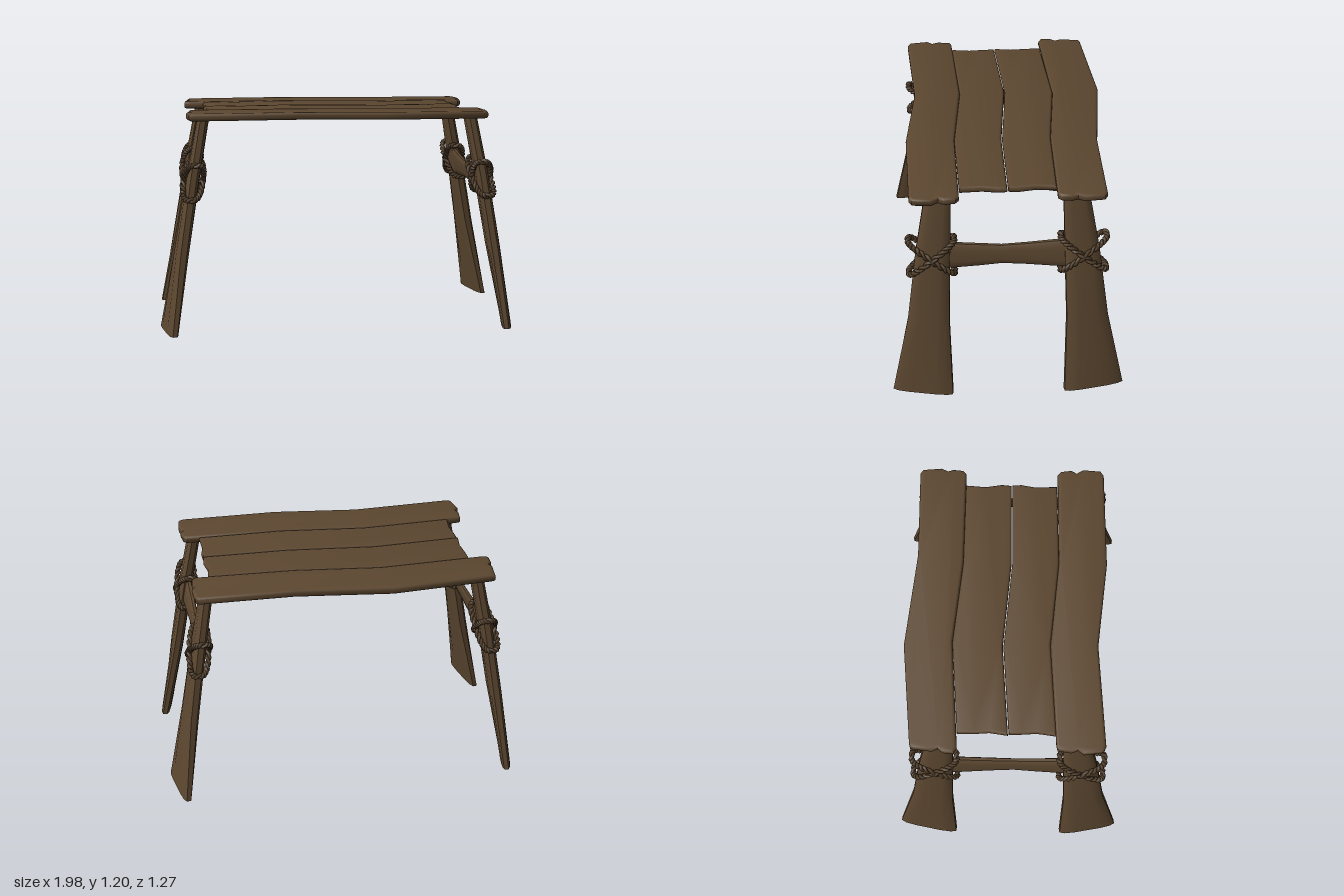
import * as THREE from 'three';
import { toCreasedNormals } from 'three/addons/utils/BufferGeometryUtils.js';

const LEAN = 0.173; // how far the legs lean in per unit of height

// Skin over closed rings of points, with flat caps at both ends
function loft(rings, flip) {
  const n = rings[0].length, pos = rings.flat().flatMap(p => [p.x, p.y, p.z]), idx = [];
  const tri = (a, b, c) => (flip ? idx.push(a, c, b) : idx.push(a, b, c));
  const last = (rings.length - 1) * n;
  for (let r = 0; r < rings.length - 1; r++) {
    for (let i = 0; i < n; i++) {
      const a = r * n + i, b = r * n + (i + 1) % n;
      tri(a, b, b + n);
      tri(a, b + n, a + n);
    }
  }
  for (let i = 1; i < n - 1; i++) {
    tri(0, i + 1, i);
    tri(last, last + i, last + i + 1);
  }
  const g = new THREE.BufferGeometry();
  g.setAttribute('position', new THREE.Float32BufferAttribute(pos, 3));
  g.setIndex(idx);
  return toCreasedNormals(g, 0.75);
}

// Point on a rounded rectangle of half size 1
const softPow = (v, e) => Math.sign(v) * Math.pow(Math.abs(v), e);
function section(count, fn) {
  return Array.from({ length: count }, (_, i) => {
    const a = ((i + 0.5) / count) * Math.PI * 2;
    return fn(softPow(Math.cos(a), 0.6), softPow(Math.sin(a), 0.6));
  });
}

// Splayed leg: wide, twisted foot narrowing to the top
function legGeometry(sx, sz) {
  // y, centre x, centre z, half width, half thickness, twist
  const stations = [
    [0, 0.943, 0.47, 0.167, 0.027, 0.19],
    [0.45, 0.866, 0.428, 0.114, 0.036, 0.09],
    [0.85, 0.8, 0.395, 0.094, 0.036, 0.04],
    [1.17, 0.74, 0.362, 0.07, 0.033, 0],
  ];
  const rings = stations.map(([y, cx, cz, w, t, k]) => section(12, (u, v) =>
    new THREE.Vector3(sx * (cx + v * t - u * w * k), y, sz * (cz + u * w + v * t * k))));
  return loft(rings, sx * sz < 0);
}

// Waisted brace joining the two legs of one end
function braceGeometry(sx) {
  // z, bottom y, top y, half thickness
  const stations = [
    [-0.42, 0.735, 0.905, 0.018], [-0.28, 0.742, 0.895, 0.02], [-0.1, 0.757, 0.878, 0.018],
    [0.03, 0.765, 0.87, 0.016], [0.14, 0.758, 0.88, 0.018], [0.3, 0.752, 0.895, 0.02],
    [0.42, 0.745, 0.905, 0.018],
  ];
  const rings = stations.map(([z, lo, hi, t]) => section(12, (u, v) => {
    const y = (lo + hi) / 2 + v * (hi - lo) / 2;
    const bow = 0.012 * (1 - Math.abs(z) / 0.42);
    return new THREE.Vector3(sx * (0.802 - bow + u * t - LEAN * (y - 0.82)), y, z);
  }));
  return loft(rings, sx < 0);
}

// One strand of a twisted rope looped diagonally round a leg
function strandGeometry(sx, sz, slant, phase) {
  const count = 150, twists = 13, twistRadius = 0.0085;
  const normal = new THREE.Vector3(0, 0.12, -slant * 0.095).normalize();
  const points = [];
  for (let i = 0; i < count; i++) {
    const t = (i / count) * Math.PI * 2;
    const c = softPow(Math.cos(t), 0.8), s = softPow(Math.sin(t), 0.55);
    const outward = new THREE.Vector3(Math.sin(t), slant * 0.6 * Math.cos(t), 0.8 * Math.cos(t)).normalize();
    const p = new THREE.Vector3(0.8 + s * 0.052, 0.825 + slant * c * 0.095, 0.402 + c * 0.122);
    p.x -= LEAN * (p.y - 0.825);
    const a = twists * t + phase;
    p.addScaledVector(normal, Math.cos(a) * twistRadius).addScaledVector(outward, Math.sin(a) * twistRadius);
    points.push(p.multiply(new THREE.Vector3(sx, 1, sz)));
  }
  return new THREE.TubeGeometry(new THREE.CatmullRomCurve3(points, true), 180, 0.0095, 6, true);
}

// Board with a soft bevel, outlined by [x, z] points
function boardGeometry(outline, bottom, top) {
  const bevel = 0.014;
  const shape = new THREE.Shape(outline.map(([x, z]) => new THREE.Vector2(x, -z)));
  const g = new THREE.ExtrudeGeometry(shape, {
    depth: top - bottom - 2 * bevel, bevelThickness: bevel, bevelSize: bevel,
    bevelOffset: -bevel, bevelSegments: 3,
  });
  g.rotateX(-Math.PI / 2).translate(0, bottom + bevel, 0);
  return toCreasedNormals(g, 0.7);
}

export function createModel() {
  const group = new THREE.Group();
  const wood = new THREE.MeshStandardMaterial({ color: 0x5c4730 });
  wood.name = 'brown wood';
  const rope = new THREE.MeshStandardMaterial({ color: 0x523f2b });
  rope.name = 'dark rope';
  const add = (parent, name, geometry, material) => {
    const mesh = new THREE.Mesh(geometry, material);
    mesh.name = name;
    parent.add(mesh);
  };

  // Long outer boards with split ends
  add(group, 'backBoard', boardGeometry([
    [-0.815, -0.515], [-0.79, -0.522], [-0.24, -0.572], [0.29, -0.515], [0.79, -0.52], [0.812, -0.505],
    [0.822, -0.4], [0.805, -0.365], [0.815, -0.335], [0.81, -0.28], [0.79, -0.26],
    [0.25, -0.263], [-0.22, -0.31], [-0.81, -0.27], [-0.838, -0.285],
    [-0.835, -0.345], [-0.815, -0.37], [-0.828, -0.4],
  ], 1.157, 1.198), wood);
  add(group, 'frontBoard', boardGeometry([
    [-0.815, 0.262], [-0.79, 0.255], [-0.23, 0.22], [0.25, 0.263], [0.79, 0.252], [0.812, 0.27],
    [0.82, 0.33], [0.803, 0.36], [0.825, 0.395], [0.818, 0.495], [0.79, 0.512],
    [0.25, 0.527], [-0.23, 0.478], [-0.79, 0.518], [-0.82, 0.505],
    [-0.835, 0.4], [-0.812, 0.37], [-0.825, 0.335],
  ], 1.157, 1.198), wood);

  // Shorter inner boards
  add(group, 'innerBackBoard', boardGeometry([
    [-0.73, -0.272], [-0.22, -0.31], [0.25, -0.263], [0.72, -0.26], [0.712, -0.15], [0.727, -0.06],
    [0.722, -0.006], [0.25, 0.002], [-0.24, -0.038], [-0.735, -0.002], [-0.722, -0.1], [-0.728, -0.18],
  ], 1.16, 1.195), wood);
  add(group, 'innerFrontBoard', boardGeometry([
    [-0.73, 0.002], [-0.24, -0.034], [0.25, 0.006], [0.725, -0.002], [0.728, 0.05], [0.714, 0.13],
    [0.72, 0.25], [0.25, 0.263], [-0.23, 0.22], [-0.735, 0.255], [-0.722, 0.15], [-0.728, 0.07],
  ], 1.16, 1.195), wood);

  // Legs, braces and crossed rope lashings
  for (const sx of [-1, 1]) {
    const side = sx > 0 ? 'left' : 'right';
    add(group, side + 'Brace', braceGeometry(sx), wood);
    for (const sz of [-1, 1]) {
      const corner = side + (sz > 0 ? 'Front' : 'Back');
      add(group, corner + 'Leg', legGeometry(sx, sz), wood);
      const lashing = new THREE.Group();
      lashing.name = corner + 'Lashing';
      for (const slant of [-1, 1]) {
        for (const phase of [0, Math.PI]) add(lashing, 'ropeStrand', strandGeometry(sx, sz, slant, phase), rope);
      }
      group.add(lashing);
    }
  }
  return group;
}
